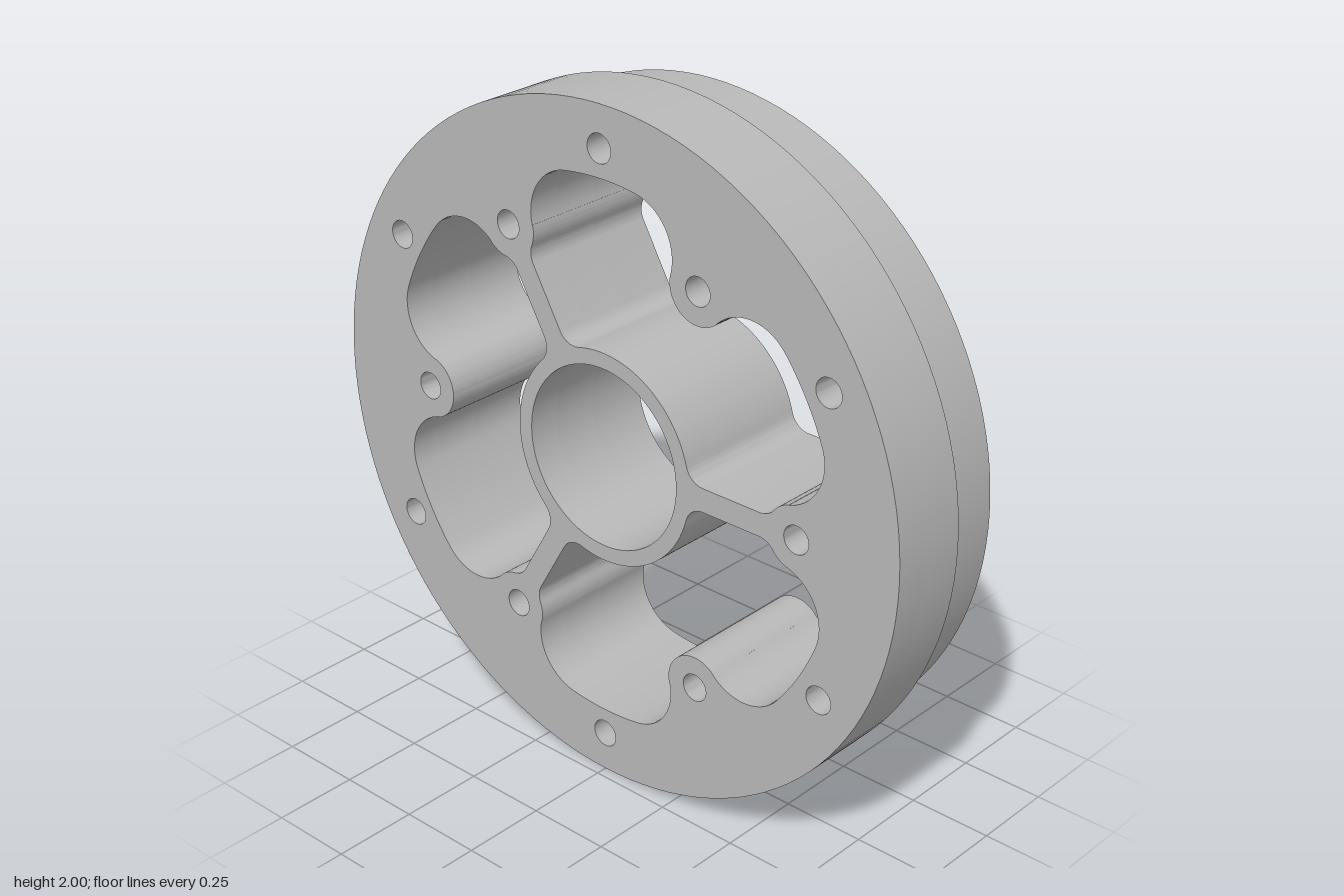
import * as THREE from 'three';
import { toCreasedNormals } from 'three/addons/utils/BufferGeometryUtils.js';

const RAD = Math.PI / 180;
const polar = (r, deg) => new THREE.Vector2(r * Math.cos(deg * RAD), r * Math.sin(deg * RAD));
const toward = (a, b) => Math.atan2(b.y - a.y, b.x - a.x);

// Points along an arc, going counterclockwise or clockwise
function arc(c, r, from, to, clockwise = false, n = 14) {
  return new THREE.EllipseCurve(c.x, c.y, r, r, from, to, clockwise).getPoints(n);
}

const circle = (c, r, n) => arc(c, r, 0, Math.PI * 2, false, n).slice(0, -1);

// Lobed opening between two spokes, symmetric about its middle boss at 60 degrees
function pocketPoints() {
  const O = new THREE.Vector2();
  const hub = 0.313, rim = 0.8, boss = 0.095, spoke = 0.035, fillet = 0.06, corner = 0.15;
  const y = spoke + fillet;
  const F = new THREE.Vector2(Math.sqrt((hub + fillet) ** 2 - y * y), y); // hub to spoke
  const B0 = polar(0.674, 0), B1 = polar(0.674, 60);
  const G = new THREE.Vector2(B0.x - Math.sqrt((boss + fillet) ** 2 - y * y), y); // spoke to boss
  const C0 = polar(rim - corner, 21.15), C1 = polar(rim - corner, 38.85); // lobe corners
  const half = [
    ...arc(O, hub, 60 * RAD, toward(O, F), true, 24),
    ...arc(F, fillet, toward(F, O), -Math.PI / 2),
    ...arc(G, fillet, -Math.PI / 2, toward(G, B0)),
    ...arc(B0, boss, toward(B0, G), toward(B0, C0), true),
    ...arc(C0, corner, toward(C0, B0), 21.15 * RAD, false, 20),
    ...arc(O, rim, 21.15 * RAD, 38.85 * RAD),
    ...arc(C1, corner, 38.85 * RAD, toward(C1, B1), false, 20),
    ...arc(B1, boss, toward(B1, C1), 240 * RAD, true, 20),
  ];
  const c = Math.cos(120 * RAD), s = Math.sin(120 * RAD);
  const mirrored = half.map(p => new THREE.Vector2(c * p.x + s * p.y, s * p.x - c * p.y)).reverse();
  const all = [...half, ...mirrored];
  // drop repeated points where arcs join
  return all.filter((p, i) => p.distanceTo(all[(i + 1) % all.length]) > 1e-4);
}

// Curved slot with round ends, centred on the +x axis
function slotPoints(r = 0.87, w = 0.05, a = 15.5) {
  const O = new THREE.Vector2();
  const all = [
    ...arc(O, r + w, -a * RAD, a * RAD, false, 20),
    ...arc(polar(r, a), w, a * RAD, (a + 180) * RAD),
    ...arc(O, r - w, a * RAD, -a * RAD, true, 20),
    ...arc(polar(r, -a), w, (180 - a) * RAD, (360 - a) * RAD),
  ];
  return all.filter((p, i) => p.distanceTo(all[(i + 1) % all.length]) > 1e-4);
}

const turn = (pts, deg) => pts.map(p => p.clone().rotateAround(new THREE.Vector2(), deg * RAD));

// One slice of the wheel, from z0 to z1
function slice(name, radius, z0, z1, slotted, material) {
  const O = new THREE.Vector2();
  const shape = new THREE.Shape(circle(O, radius, 128));
  const cut = pts => shape.holes.push(new THREE.Path(pts));
  cut(circle(O, 0.267, 72));
  const pocket = pocketPoints(), slot = slotPoints();
  for (let i = 0; i < 3; i++) cut(turn(pocket, i * 120));
  for (let i = 0; i < 6; i++) {
    cut(circle(polar(0.674, i * 60), 0.041, 28)); // inner bolt hole
    cut(circle(polar(0.88, i * 60 + 30), 0.041, 28)); // outer bolt hole
    if (slotted) cut(turn(slot, i * 60));
  }
  const geo = new THREE.ExtrudeGeometry(shape, { depth: z1 - z0, bevelEnabled: false });
  const mesh = new THREE.Mesh(toCreasedNormals(geo, 0.6), material);
  mesh.name = name;
  mesh.position.set(0, 1, z0);
  return mesh;
}

export function createModel() {
  const metal = new THREE.MeshStandardMaterial({ color: 0xb8b8b8 });
  metal.name = 'grey metal';
  const group = new THREE.Group();
  group.name = 'spokedFlange';
  group.add(
    slice('frontPlate', 1, 0.12, 0.217, false, metal),
    slice('slottedFlange', 1, -0.025, 0.12, true, metal),
    slice('backShoulder', 0.96, -0.217, -0.025, true, metal),
  );
  return group;
}
